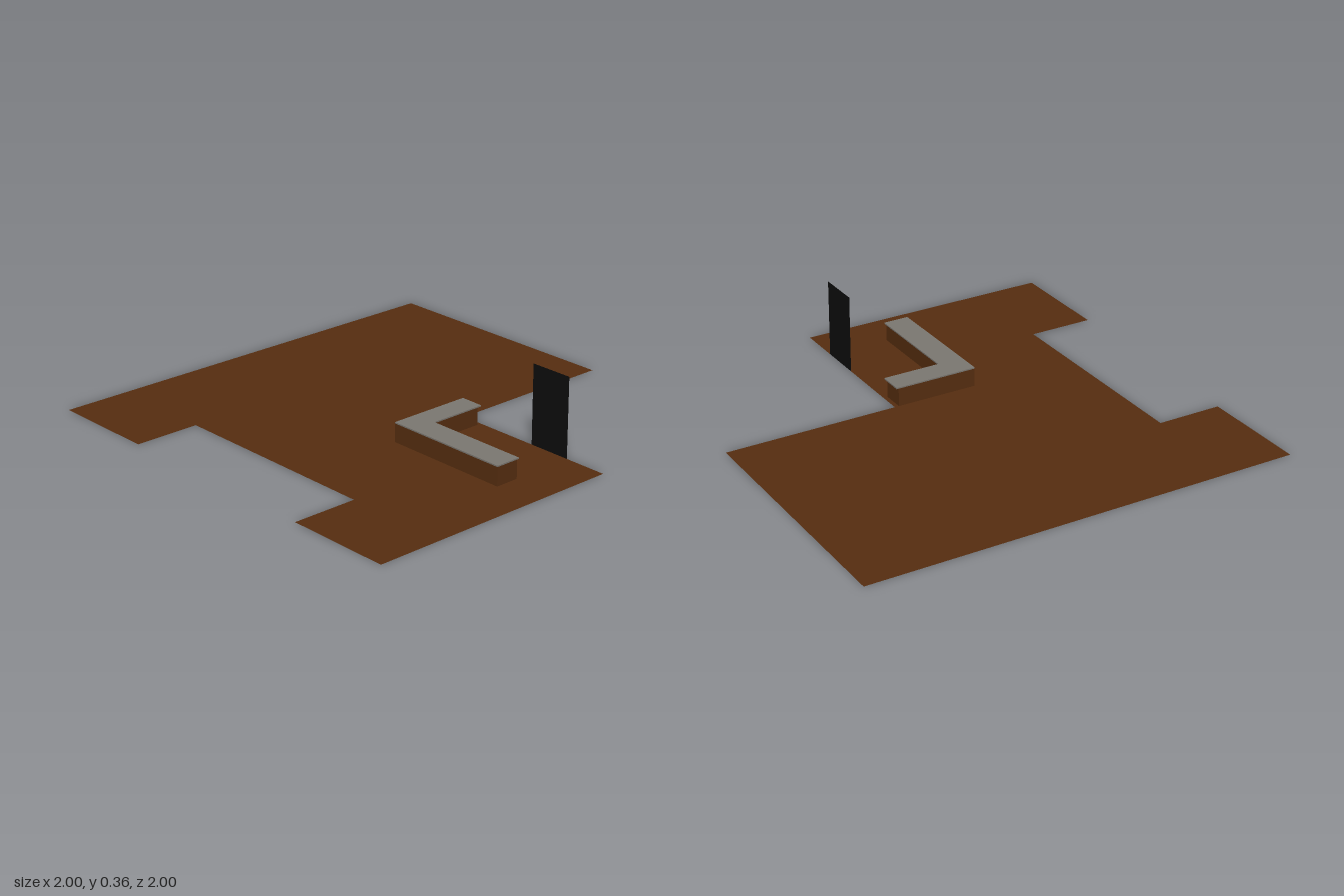
import * as THREE from 'three';

const brown = new THREE.MeshStandardMaterial({ name: 'brownWood', color: 0x572e10 });
const brownFloor = brown.clone();
brownFloor.side = THREE.DoubleSide;
const grey = new THREE.MeshStandardMaterial({ name: 'greyStone', color: 0x7c7872 });
const black = new THREE.MeshStandardMaterial({ name: 'blackDoor', color: 0x0d0d0d, side: THREE.DoubleSide });

// Plan outline given as [x, z] pairs
function plan(points) {
  return new THREE.Shape(points.map(([x, z]) => new THREE.Vector2(x, -z)));
}

// L-shaped slab: a long front arm and a side arm reaching back
function lSlab(name, armX, armZ, backZ, y, height, material) {
  const shape = plan([[0.2, 0.2], [0.8, 0.2], [0.8, armZ], [armX, armZ], [armX, backZ], [0.2, backZ]]);
  const geometry = new THREE.ExtrudeGeometry(shape, { depth: height, bevelEnabled: false });
  geometry.rotateX(-Math.PI / 2).translate(0, y, 0);
  const mesh = new THREE.Mesh(geometry, material);
  mesh.name = name;
  return mesh;
}

export function createModel() {
  const model = new THREE.Group();
  model.name = 'floorWithCounter';

  // Flat floor with a missing back corner and a front notch
  const floorShape = plan([
    [-1, -1], [0.2, -1], [0.2, -0.2], [1, -0.2], [1, 1],
    [0.51, 1], [0.51, 0.7], [-0.5, 0.7], [-0.5, 1], [-1, 1],
  ]);
  const floor = new THREE.Mesh(new THREE.ShapeGeometry(floorShape).rotateX(-Math.PI / 2), brownFloor);
  floor.name = 'floor';

  // Counter body with a slightly overhanging worktop
  const counter = new THREE.Group();
  counter.name = 'counter';
  counter.add(
    lSlab('counterBody', 0.3, 0.09, -0.18, 0, 0.084, brown),
    lSlab('counterTop', 0.31, 0.08, -0.19, 0.084, 0.006, grey),
  );

  // Door panel standing on the back edge
  const door = new THREE.Mesh(new THREE.PlaneGeometry(0.2, 0.36), black);
  door.name = 'door';
  door.position.set(0.7, 0.18, -0.2);

  model.add(floor, counter, door);
  return model;
}
